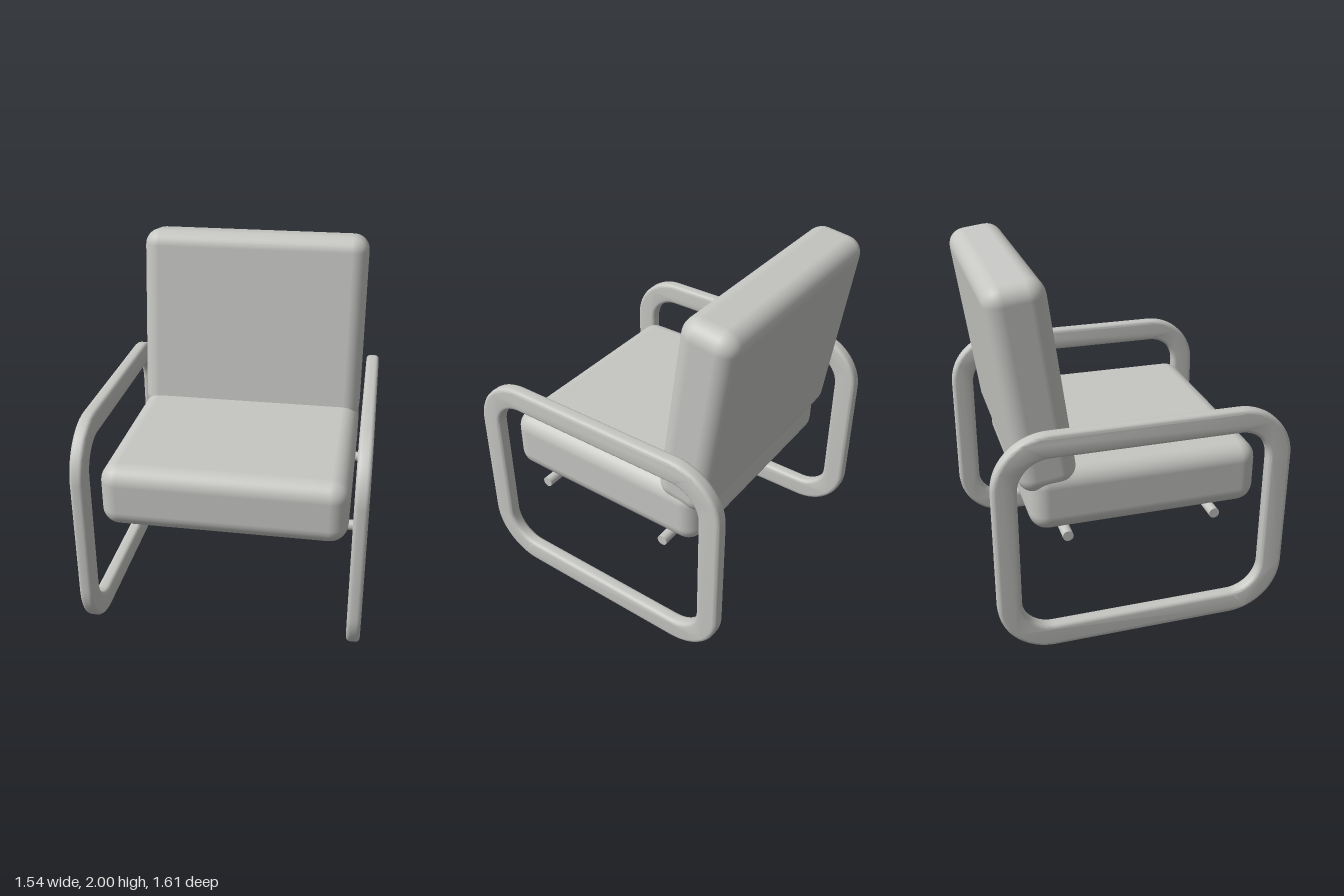
import * as THREE from 'three';
import { toCreasedNormals } from 'three/addons/utils/BufferGeometryUtils.js';
import { RoundedBoxGeometry } from 'three/addons/geometries/RoundedBoxGeometry.js';

// Traces a rounded rectangle centred on the origin
function roundedRect(path, halfW, halfH, r) {
  const a = halfW - r, b = halfH - r;
  path.moveTo(a, -halfH);
  path.absarc(a, -b, r, -Math.PI / 2, 0);
  path.absarc(a, b, r, 0, Math.PI / 2);
  path.absarc(-a, b, r, Math.PI / 2, Math.PI);
  path.absarc(-a, -b, r, Math.PI, Math.PI * 1.5);
  path.closePath();
  return path;
}

export function createModel() {
  const chair = new THREE.Group();
  chair.name = 'armchair';
  const grey = new THREE.MeshStandardMaterial({ color: 0xc6c6c3 });
  grey.name = 'warm grey';

  const add = (name, geometry, x, y, z) => {
    const mesh = new THREE.Mesh(geometry, grey);
    mesh.name = name;
    mesh.position.set(x, y, z);
    chair.add(mesh);
    return mesh;
  };

  // Side frames: closed rounded loops that serve as legs and armrests
  const bevel = 0.022, thickness = 0.075;
  const loop = roundedRect(new THREE.Shape(), 0.805 - bevel, 0.6325 - bevel, 0.3 - bevel);
  loop.holes.push(roundedRect(new THREE.Path(), 0.675 + bevel, 0.5 + bevel, 0.17 + bevel));
  const extruded = new THREE.ExtrudeGeometry(loop, {
    depth: thickness - 2 * bevel, bevelEnabled: true, bevelSize: bevel,
    bevelThickness: bevel, bevelSegments: 4, curveSegments: 10,
  });
  extruded.translate(0, 0, bevel - thickness / 2);
  extruded.rotateY(Math.PI / 2);
  const frameGeometry = toCreasedNormals(extruded, 0.7);
  for (const side of [1, -1]) {
    add(side > 0 ? 'leftFrame' : 'rightFrame', frameGeometry, side * 0.7325, 0.6325, 0);
  }

  // Cross rods under the seat
  for (const side of [1, -1]) {
    const rod = new THREE.CylinderGeometry(0.029, 0.029, 1.4, 20).rotateZ(Math.PI / 2);
    add(side > 0 ? 'frontRod' : 'rearRod', rod, 0, 0.635, side * 0.408);
  }

  // Cushions, the back one leaning rearward
  add('seatCushion', new RoundedBoxGeometry(1.34, 0.36, 1.26, 4, 0.1), 0, 0.82, 0.04);
  const back = add('backCushion', new RoundedBoxGeometry(1.34, 1.12, 0.314, 4, 0.095), 0, 1.435, -0.553);
  back.rotation.x = -0.136;

  return chair;
}
